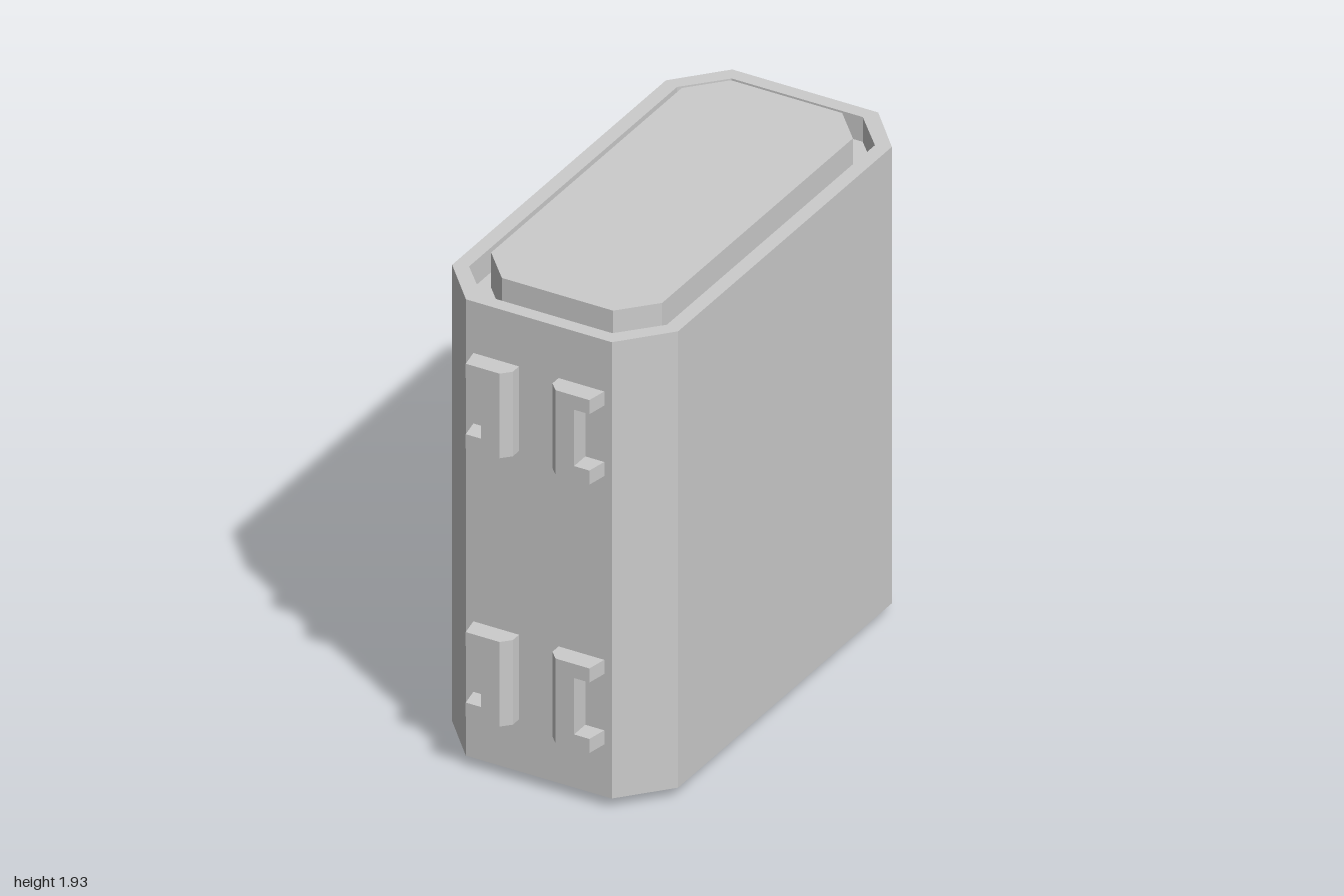
import * as THREE from 'three';

const material = new THREE.MeshStandardMaterial({ color: 0xcccccc, flatShading: true });

// Octagon outline: half width, half depth, and where the cut corners begin
const octagon = (w, d, cw, cd) => [
  [cw, d], [w, cd], [w, -cd], [cw, -d], [-cw, -d], [-w, -cd], [-w, cd], [-cw, d],
];
const toPoints = (outline) => outline.map(([x, z]) => new THREE.Vector2(x, -z));

// Upright prism from a plan outline (x, z), with an optional hole
function prism(name, outline, y0, y1, hole) {
  const shape = new THREE.Shape(toPoints(outline));
  if (hole) shape.holes.push(new THREE.Path(toPoints(hole)));
  const geometry = new THREE.ExtrudeGeometry(shape, { depth: y1 - y0, bevelEnabled: false });
  geometry.rotateX(-Math.PI / 2);
  geometry.translate(0, y0, 0);
  const mesh = new THREE.Mesh(geometry, material);
  mesh.name = name;
  return mesh;
}

// C-shaped bracket: bevelled spine towards the middle, two arms pointing outwards
function bracket(sx, sz, y0) {
  const group = new THREE.Group();
  group.name = 'bracket';
  const place = (outline) => outline.map(([x, z]) => [x * sx, z * sz]);
  const inner = [[0.08, 0.92], [0.08, 0.965], [0.113, 1]];
  const arm = place([...inner, [0.25, 1], [0.265, 0.92]]);
  const spine = place([...inner, [0.188, 1], [0.188, 0.92]]);
  group.add(
    prism('lowerArm', arm, y0, y0 + 0.057),
    prism('spine', spine, y0 + 0.057, y0 + 0.285),
    prism('upperArm', arm, y0 + 0.285, y0 + 0.342),
  );
  return group;
}

export function createModel() {
  const model = new THREE.Group();
  model.name = 'container';

  const outer = octagon(0.457, 0.922, 0.295, 0.74);
  const opening = octagon(0.4, 0.867, 0.265, 0.72);
  const panel = octagon(0.346, 0.793, 0.225, 0.66);
  const bottom = 0.045, top = 1.89, groove = 0.1;

  // Outer shell, the core that forms the groove floors, and the raised end panels
  model.add(
    prism('shell', outer, bottom, top, opening),
    prism('core', opening, bottom + groove, top - groove),
    prism('topPanel', panel, top - groove, 1.932),
    prism('bottomPanel', panel, 0, bottom + groove),
  );

  // Two rows of mirrored brackets on the front and back
  for (const sz of [1, -1])
    for (const sx of [1, -1])
      for (const y of [0.255, 1.34]) model.add(bracket(sx, sz, y));

  return model;
}
